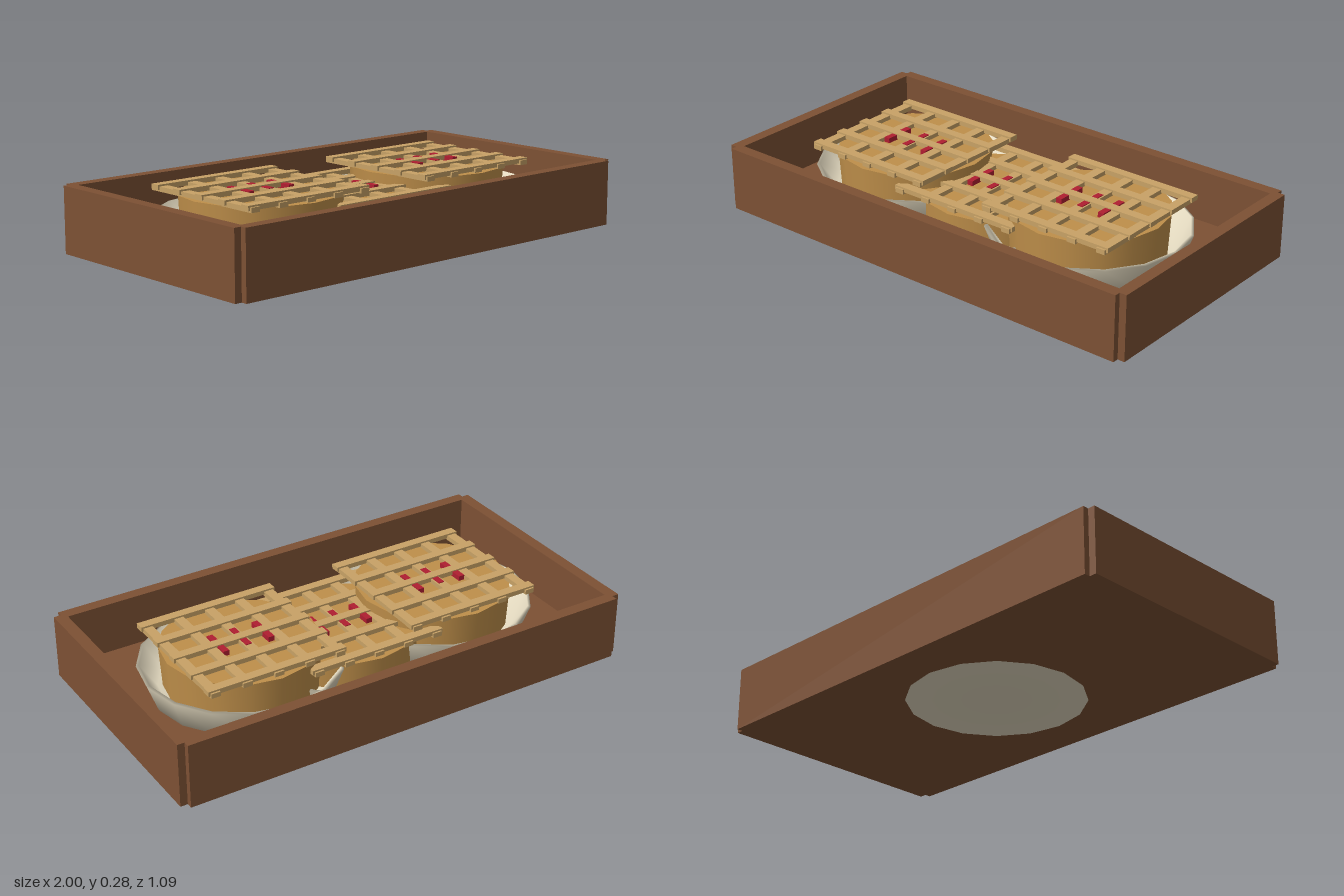
import * as THREE from 'three';

const mat = (name, color, side = THREE.FrontSide) => {
  const m = new THREE.MeshStandardMaterial({ color, side });
  m.name = name;
  return m;
};

export function createModel() {
  const wood = mat('wood brown', 0x7d5134);
  const cream = mat('dish cream', 0xe4dac0, THREE.DoubleSide);
  const crustTan = mat('crust gold', 0xbf8f4a);
  const latticeTan = mat('lattice tan', 0xc8a266);
  const red = mat('filling red', 0xb01e30);

  const model = new THREE.Group();
  model.name = 'pieTray';

  const add = (parent, name, geometry, material, x, y, z) => {
    const mesh = new THREE.Mesh(geometry, material);
    mesh.name = name;
    mesh.position.set(x, y, z);
    parent.add(mesh);
    return mesh;
  };
  const box = (parent, name, w, h, d, material, x, y, z) =>
    add(parent, name, new THREE.BoxGeometry(w, h, d), material, x, y, z);

  // Wooden tray: floor and four walls with notched corners
  const tray = new THREE.Group();
  tray.name = 'tray';
  model.add(tray);
  box(tray, 'trayFloor', 1.94, 0.053, 1.04, wood, 0, 0.0285, 0);
  for (const s of [-1, 1]) {
    box(tray, s > 0 ? 'frontWall' : 'backWall', 1.94, 0.27, 0.05, wood, 0, 0.137, s * 0.52);
    box(tray, s > 0 ? 'leftWall' : 'rightWall', 0.05, 0.27, 1.04, wood, s * 0.975, 0.137, 0);
  }

  // Dish section: base, outer slope, rim, inner slope, inner floor
  const dishProfile = [
    [0, 0], [0.365, 0], [0.41, 0.12], [0.398, 0.124], [0.33, 0.025], [0, 0.025],
  ].map(([r, y]) => new THREE.Vector2(r, y));
  const dishGeometry = new THREE.LatheGeometry(dishProfile, 16);
  const crustGeometry = new THREE.CylinderGeometry(0.32, 0.31, 0.17, 16);

  const makePie = (name, x, y) => {
    const pie = new THREE.Group();
    pie.name = name;
    pie.position.set(x, y, 0);
    model.add(pie);

    add(pie, 'dish', dishGeometry, cream, 0, 0, 0);
    add(pie, 'crust', crustGeometry, crustTan, 0, 0.11, 0);

    // Lattice: lower strips run front to back, upper strips run side to side
    for (let i = -2; i <= 2; i++) {
      const p = i * 0.136;
      box(pie, 'lowerStrip', 0.04, 0.02, 0.6, latticeTan, p, 0.203, 0);
      box(pie, 'upperStrip', 0.6, 0.02, 0.04, latticeTan, 0, 0.21, p);
    }

    // Filling showing through the lattice
    for (const p of [-0.1, 0, 0.1]) {
      box(pie, 'filling', 0.026, 0.024, 0.135, red, p, 0.204, 0);
    }
  };

  // The middle pie sits lower, sunk into the tray floor
  makePie('rightPie', -0.45, 0.06);
  makePie('middlePie', 0, 0);
  makePie('leftPie', 0.45, 0.06);

  return model;
}
